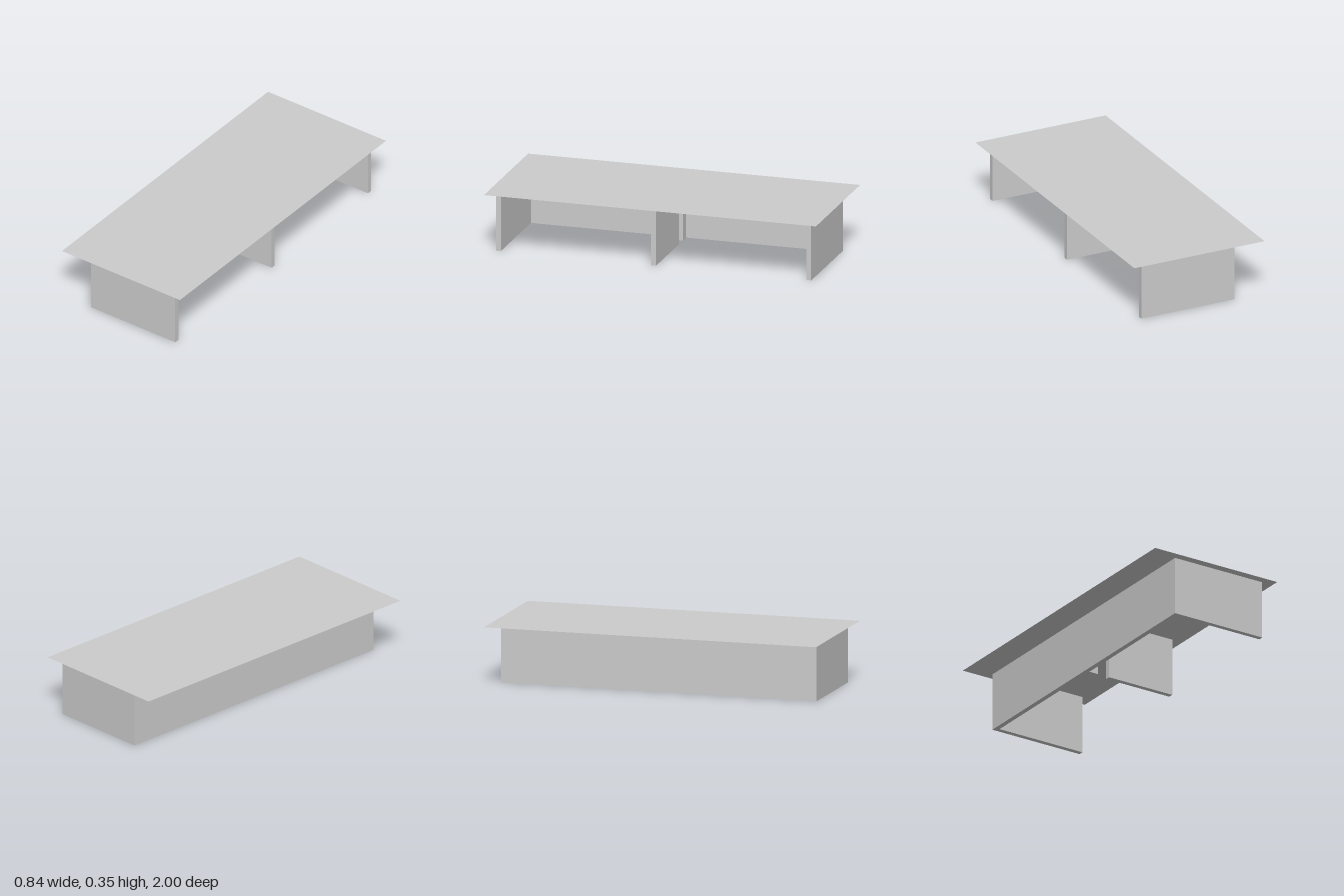
import * as THREE from 'three';

const HEIGHT = 0.35, THICK = 0.03;
const BACK = -0.25, FRONT = 0.35, HALF_LENGTH = 0.95;

export function createModel() {
  const group = new THREE.Group();
  const material = new THREE.MeshStandardMaterial({ color: 0xcccccc, flatShading: true });
  const topMaterial = new THREE.MeshStandardMaterial({ color: 0xcccccc, side: THREE.DoubleSide });

  const add = (name, geometry, mat = material) => {
    const mesh = new THREE.Mesh(geometry, mat);
    mesh.name = name;
    group.add(mesh);
    return mesh;
  };

  // Paper-thin table top, overhanging the base
  const top = add('tableTop', new THREE.PlaneGeometry(0.84, 2).rotateX(-Math.PI / 2), topMaterial);
  top.position.y = HEIGHT;

  // Long panel along one side of the base
  const side = add('sidePanel', new THREE.BoxGeometry(THICK, HEIGHT, HALF_LENGTH * 2));
  side.position.set(BACK + THICK / 2, HEIGHT / 2, 0);

  // End panels butted against the long panel
  const inner = BACK + THICK;
  for (const s of [1, -1]) {
    const end = add(s > 0 ? 'frontEndPanel' : 'backEndPanel',
      new THREE.BoxGeometry(FRONT - inner, HEIGHT, THICK));
    end.position.set((FRONT + inner) / 2, HEIGHT / 2, s * (HALF_LENGTH - THICK / 2));
  }

  // Middle divider with a slot cut up from its lower edge
  const slotLeft = -0.16, slotRight = -0.085, slotTop = 0.26;
  const outline = new THREE.Shape([
    [inner, 0], [slotLeft, 0], [slotLeft, slotTop], [slotRight, slotTop],
    [slotRight, 0], [FRONT, 0], [FRONT, HEIGHT], [inner, HEIGHT],
  ].map(([x, y]) => new THREE.Vector2(x, y)));
  const divider = add('middleDivider',
    new THREE.ExtrudeGeometry(outline, { depth: THICK, bevelEnabled: false }));
  divider.position.z = -THICK / 2;

  return group;
}
